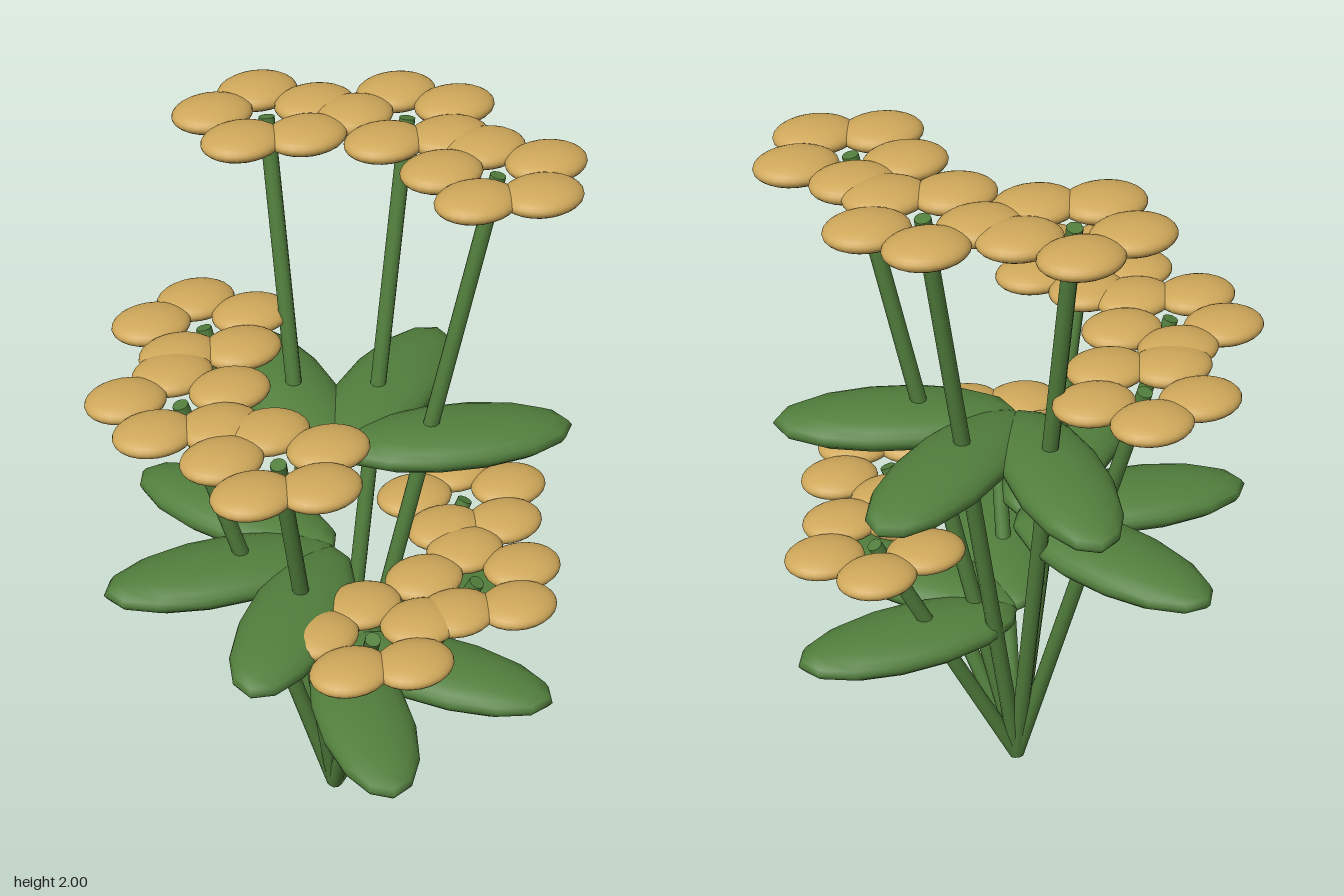
import * as THREE from 'three';

const green = new THREE.MeshStandardMaterial({ name: 'leaf green', color: 0x527f3d });
const gold = new THREE.MeshStandardMaterial({ name: 'petal gold', color: 0xcfa85a });

const BASE = new THREE.Vector3(-0.01, 0.005, 0.01);
const REACH = 0.41;       // distance of each flower from the plant's axis
const PETAL_RING = 0.14;  // distance of petals from the flower's middle

// Three tiers of three stems; angles run from +x towards +z
const tiers = [
  { height: 0.87, angles: [0, 52.5, 105] },
  { height: 1.418, angles: [138.5, 190.5, 242] },
  { height: 1.964, angles: [-86, -34, 18.7] },
];

const petalGeometry = new THREE.SphereGeometry(1, 24, 16).scale(0.108, 0.036, 0.09);
const leafGeometry = new THREE.SphereGeometry(1, 14, 12).scale(0.32, 0.058, 0.13);

// Straight round stem between two points
function makeStem(from, to) {
  const direction = to.clone().sub(from);
  const stem = new THREE.Mesh(new THREE.CylinderGeometry(0.021, 0.023, direction.length(), 10), green);
  stem.name = 'stem';
  stem.position.copy(from).add(to).multiplyScalar(0.5);
  stem.quaternion.setFromUnitVectors(new THREE.Vector3(0, 1, 0), direction.normalize());
  return stem;
}

// Five flattened petals, all wider along x
function makeFlower(center) {
  const flower = new THREE.Group();
  flower.name = 'flower';
  flower.position.copy(center);
  for (let i = 0; i < 5; i++) {
    const a = (i / 5) * Math.PI * 2;
    const petal = new THREE.Mesh(petalGeometry, gold);
    petal.name = 'petal';
    petal.position.set(Math.cos(a) * PETAL_RING, 0, Math.sin(a) * PETAL_RING);
    flower.add(petal);
  }
  return flower;
}

// Flat oval leaf reaching outward from the plant's axis
function makeLeaf(angle, height) {
  const leaf = new THREE.Mesh(leafGeometry, green);
  leaf.name = 'leaf';
  leaf.position.set(BASE.x + Math.cos(angle) * 0.32, height, BASE.z + Math.sin(angle) * 0.32);
  leaf.rotation.y = -angle;
  return leaf;
}

export function createModel() {
  const plant = new THREE.Group();
  plant.name = 'floweringPlant';
  for (const { height, angles } of tiers) {
    for (const degrees of angles) {
      const angle = THREE.MathUtils.degToRad(degrees);
      const top = new THREE.Vector3(
        BASE.x + Math.cos(angle) * REACH, height, BASE.z + Math.sin(angle) * REACH);
      const branch = new THREE.Group();
      branch.name = 'branch';
      branch.add(makeStem(BASE, top), makeLeaf(angle, height * 0.6 + 0.005), makeFlower(top));
      plant.add(branch);
    }
  }
  return plant;
}
